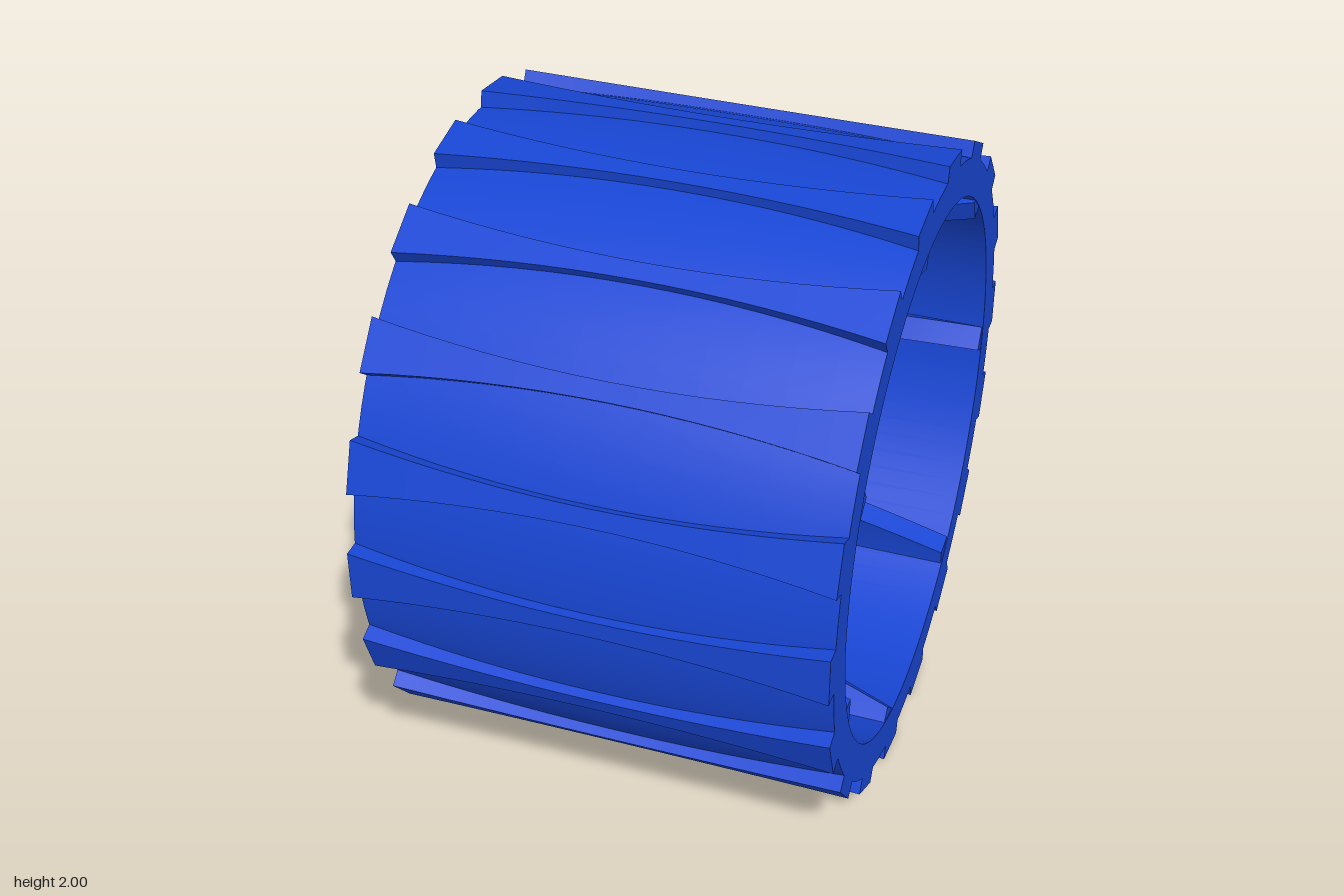
import * as THREE from 'three';
import { toCreasedNormals } from 'three/addons/utils/BufferGeometryUtils.js';

const HALF = 0.71;      // half width of the wheel
const WEB = -0.5;       // inner face of hub and spokes
const SEAM = 0.915;     // radius where the tyre meets the rim
const material = new THREE.MeshStandardMaterial({ color: 0x1846d4 });

function part(name, geometry, crease = 0.5) {
  const mesh = new THREE.Mesh(toCreasedNormals(geometry, crease), material);
  mesh.name = name;
  return mesh;
}

// Move every vertex of a geometry by a rule
function deform(geometry, rule) {
  const pos = geometry.attributes.position;
  const v = new THREE.Vector3();
  for (let i = 0; i < pos.count; i++) {
    rule(v.fromBufferAttribute(pos, i));
    pos.setXYZ(i, v.x, v.y, v.z);
  }
  return geometry;
}

// Closed ring about the axle; the outer face may swell in the middle
function ringGeometry(inner, outer, crown, steps) {
  const profile = [];
  for (let i = 0; i <= steps; i++) {
    const s = -1 + (2 * i) / steps;
    profile.push(new THREE.Vector2(outer + crown * (1 - s * s), s * HALF));
  }
  for (const [r, y] of [[inner, HALF], [inner, -HALF], [outer, -HALF]])
    profile.push(new THREE.Vector2(r, y));
  return new THREE.LatheGeometry(profile, 90).rotateX(Math.PI / 2);
}

// Tread bar, narrow in the middle and wide at both ends
function treadGeometry() {
  const g = new THREE.BoxGeometry(0.08, 0.16, 2 * HALF, 1, 1, 16);
  g.translate(0.96, 0, 0);
  return deform(g, (v) => { v.y *= 1 - 0.65 * (1 - (v.z / HALF) ** 2); });
}

// Curved spoke, flat near the hub, then ramping up to the far edge of the rim
function spokeGeometry() {
  const g = new THREE.BoxGeometry(1, 1, 1, 25, 1, 1);
  return deform(g, (v) => {
    const u = 0.12 + 0.75 * (v.x + 0.5);
    const slope = -1.4 * (u - 0.4);
    const n = Math.hypot(1, slope);
    const side = v.y * 0.078;
    const ramp = THREE.MathUtils.clamp((u - 0.48) / 0.33, 0, 1);
    v.x = u - side * slope / n;
    v.y = 0.085 - 0.7 * (u - 0.4) ** 2 + side / n;
    v.z = v.z < 0 ? -HALF + 0.002 : WEB - 0.002 + ramp * (HALF - WEB);
  });
}

// Disc with a hole of the given number of sides
function discGeometry(radius, holeRadius, sides, turn, from, to) {
  const shape = new THREE.Shape().absarc(0, 0, radius, 0, 2 * Math.PI);
  const corners = [];
  for (let i = 0; i < sides; i++) {
    const a = turn + (i / sides) * 2 * Math.PI;
    corners.push(new THREE.Vector2(holeRadius * Math.cos(a), holeRadius * Math.sin(a)));
  }
  shape.holes.push(new THREE.Path(corners));
  const g = new THREE.ExtrudeGeometry(shape, { depth: to - from, bevelEnabled: false, curveSegments: 24 });
  return g.translate(0, 0, from);
}

export function createModel() {
  const wheel = new THREE.Group();
  wheel.name = 'wheel';

  // Straight rim inside a slightly crowned tyre
  wheel.add(part('rim', ringGeometry(0.838, SEAM, 0, 1)));
  wheel.add(part('tyre', ringGeometry(SEAM, 0.953, 0.018, 12)));

  const tread = treadGeometry();
  for (let i = 0; i < 18; i++) {
    const bar = part('tread', tread);
    bar.rotation.z = (i / 18) * 2 * Math.PI;
    wheel.add(bar);
  }

  const spoke = spokeGeometry();
  for (let i = 0; i < 7; i++) {
    const arm = part('spoke', spoke, 0.4);
    arm.rotation.z = (i / 7) * 2 * Math.PI;
    wheel.add(arm);
  }

  // Hub: axle hole outside, hexagonal nut pocket inside
  wheel.add(part('hubPlate', discGeometry(0.18, 0.033, 24, 0, -HALF, -0.58)));
  wheel.add(part('hubPocket', discGeometry(0.18, 0.12, 6, -0.17, -0.58, WEB)));

  // Lay the axle along x and stand the wheel on the ground
  wheel.rotation.y = Math.PI / 2;
  wheel.position.y = 1;
  const model = new THREE.Group();
  model.name = 'treadedWheel';
  model.add(wheel);
  return model;
}
